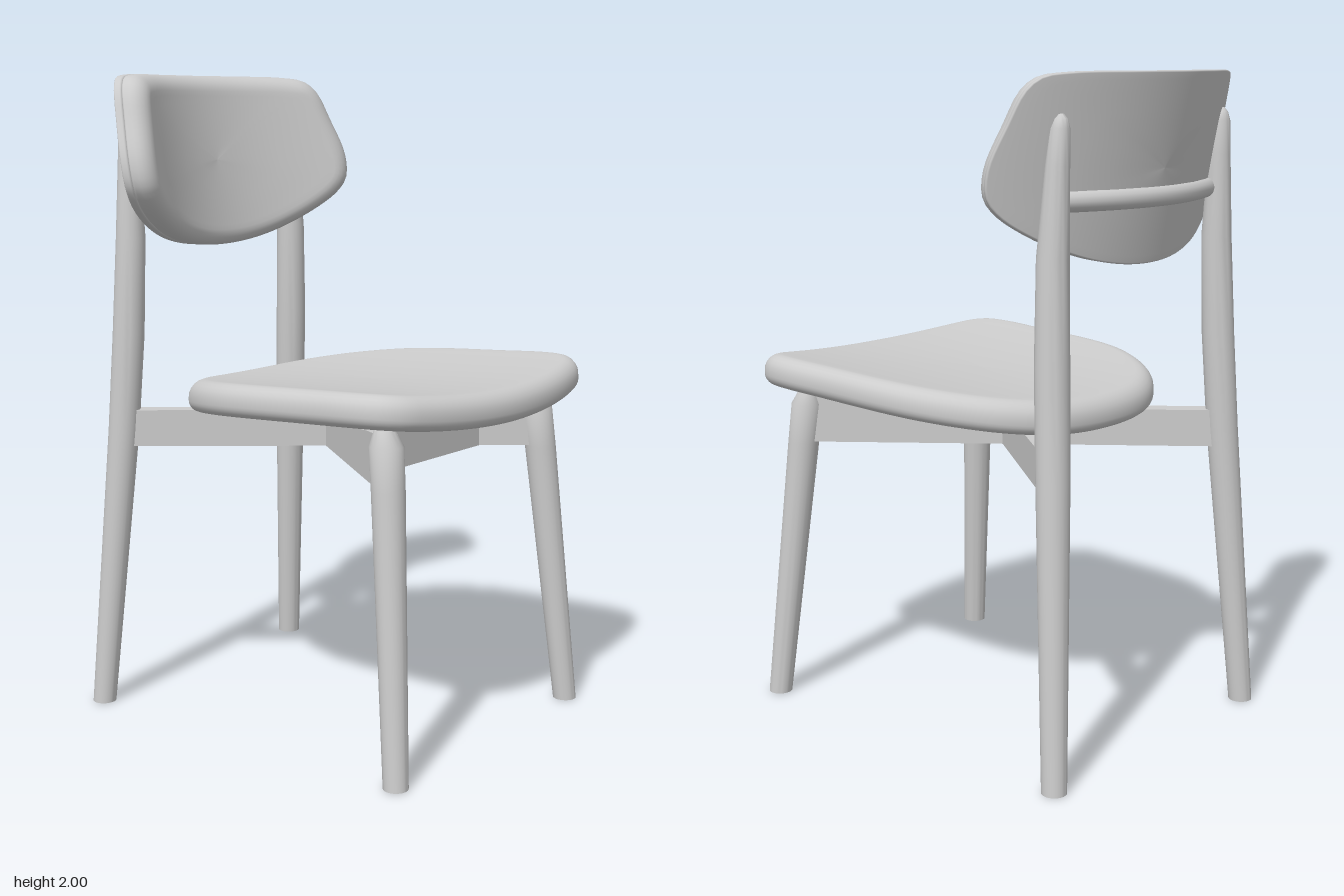
import * as THREE from 'three';
import { toCreasedNormals } from 'three/addons/utils/BufferGeometryUtils.js';

const paint = new THREE.MeshStandardMaterial({ color: 0xcccccc });
paint.name = 'light grey';

// Half outline (from x = 0 round the +x side back to x = 0), mirrored and smoothed
function mirroredOutline(half, count) {
  const left = half.slice(1, -1).reverse().map(([x, y]) => [-x, y]);
  const pts = [...half, ...left].map(([x, y]) => new THREE.Vector3(x, y, 0));
  const curve = new THREE.CatmullRomCurve3(pts, true, 'centripetal');
  return curve.getSpacedPoints(count).slice(0, count);
}

// Edge profile [inset, height] with a rounded lower and upper edge
function roundedEdge(h0, h1, rLow, rHigh, steps = 6) {
  const out = [];
  for (let i = 0; i <= steps; i++) {
    const a = (i / steps) * Math.PI / 2;
    out.push([rLow * (1 - Math.sin(a)), h0 + rLow * (1 - Math.cos(a))]);
  }
  for (let i = 0; i <= steps; i++) {
    const a = (i / steps) * Math.PI / 2;
    out.push([rHigh * (1 - Math.cos(a)), h1 - rHigh * (1 - Math.sin(a))]);
  }
  return out;
}

// Padded slab: inset rings of an anticlockwise outline, closed both sides, then bent by warp
function slab(outline, profile, centre, warp) {
  const n = outline.length;
  const rings = [];
  const ring = (inset, h, scale) => rings.push(outline.map((p, j) => {
    const a = outline[(j + n - 1) % n], b = outline[(j + 1) % n];
    const dx = b.x - a.x, dy = b.y - a.y, len = Math.hypot(dx, dy);
    const x = p.x - (dy / len) * inset, y = p.y + (dx / len) * inset;
    return warp(x * scale, centre + (y - centre) * scale, h);
  }));
  const inner = [0.001, 0.2, 0.4, 0.6, 0.8, 0.93];
  const first = profile[0], last = profile[profile.length - 1];
  inner.forEach((s) => ring(first[0], first[1], s));
  profile.forEach(([inset, h]) => ring(inset, h, 1));
  [...inner].reverse().forEach((s) => ring(last[0], last[1], s));

  const index = [];
  for (let i = 0; i < rings.length - 1; i++) {
    for (let j = 0; j < n; j++) {
      const a = i * n + j, b = i * n + (j + 1) % n;
      index.push(a, b, b + n, a, b + n, a + n);
    }
  }
  const g = new THREE.BufferGeometry();
  g.setAttribute('position', new THREE.Float32BufferAttribute(rings.flat().flatMap((v) => [v.x, v.y, v.z]), 3));
  g.setIndex(index);
  g.computeVertexNormals();
  return g;
}

// Leaning round leg from stations [x, y, z, radius], foot first
function legGeometry(stations, side) {
  const profile = stations.map(([, y, , r]) => new THREE.Vector2(r, y));
  const top = stations[stations.length - 1];
  const g = new THREE.LatheGeometry(
    [new THREE.Vector2(0, 0), ...profile, new THREE.Vector2(0, top[1] + 0.001)], 28);
  const pos = g.attributes.position;
  for (let i = 0; i < pos.count; i++) {
    const y = pos.getY(i);
    let k = 0;
    while (k < stations.length - 2 && y > stations[k + 1][1]) k++;
    const a = stations[k], b = stations[k + 1];
    const t = Math.min(1, (y - a[1]) / (b[1] - a[1]));
    pos.setX(i, pos.getX(i) + side * THREE.MathUtils.lerp(a[0], b[0], t));
    pos.setZ(i, pos.getZ(i) + THREE.MathUtils.lerp(a[2], b[2], t));
  }
  return toCreasedNormals(g, 0.6);
}

// Curved, backward-leaning rear surface of the backrest
const BEND = 0.68;
const backZ = (x, y) => -0.66 + (2 - y) * 0.195 + BEND * x * x;
function bendBack(x, y, h) {
  const slope = 2 * BEND * x, len = Math.hypot(slope, 1);
  return new THREE.Vector3(x - (slope / len) * h, y, backZ(x, y) + h / len);
}

export function createModel() {
  const model = new THREE.Group();
  const add = (name, geometry) => {
    const mesh = new THREE.Mesh(geometry, paint);
    mesh.name = name;
    model.add(mesh);
    return mesh;
  };

  // Seat: dished across its width and sloping gently to the back (outline is x, -z)
  const seatOutline = mirroredOutline([
    [0, -0.66], [0.2, -0.648], [0.38, -0.617], [0.47, -0.585], [0.522, -0.53], [0.54, -0.44],
    [0.535, -0.28], [0.525, -0.05], [0.502, 0.08], [0.45, 0.2], [0.36, 0.315], [0.22, 0.4], [0, 0.43],
  ], 112);
  add('seat', slab(seatOutline, roundedEdge(-0.1, 0, 0.03, 0.058), -0.1,
    (x, v, h) => new THREE.Vector3(x, 1.066 - 0.045 * v + 0.165 * x * x + h, -v)));

  // Backrest: thin shell behind a thicker pad
  const backOutline = mirroredOutline([
    [0, 1.455], [0.14, 1.465], [0.27, 1.495], [0.4, 1.55], [0.49, 1.61], [0.527, 1.66],
    [0.535, 1.74], [0.505, 1.86], [0.475, 1.95], [0.44, 1.985], [0.37, 1.997], [0.18, 2], [0, 2],
  ], 112);
  add('backrestShell', slab(backOutline, roundedEdge(0, 0.026, 0.005, 0.007, 3), 1.73, bendBack));
  add('backrestPad', slab(backOutline, roundedEdge(0.024, 0.1, 0.008, 0.05), 1.73, bendBack));

  // Curved rail across the rear of the backrest
  const railPoints = [];
  for (let i = -6; i <= 6; i++) {
    const x = i * 0.0625;
    railPoints.push(new THREE.Vector3(x, 1.65, backZ(x, 1.65) + 0.003));
  }
  add('backRail', new THREE.TubeGeometry(new THREE.CatmullRomCurve3(railPoints), 40, 0.03, 12));

  // Legs
  const frontLeg = [
    [0.47, 0, 0.562, 0.037], [0.41, 0.84, 0.487, 0.049], [0.402, 0.965, 0.474, 0.05], [0.4, 1.012, 0.466, 0.03],
  ];
  const backPost = [
    [0.47, 0, -0.605, 0.037], [0.413, 0.9, -0.546, 0.049], [0.4, 1.2, -0.53, 0.05], [0.39, 1.5, -0.522, 0.046],
    [0.382, 1.75, -0.53, 0.034], [0.379, 1.85, -0.536, 0.027], [0.378, 1.875, -0.538, 0.019], [0.378, 1.888, -0.538, 0.008],
  ];
  for (const [label, side] of [['left', 1], ['right', -1]]) {
    add(label + 'FrontLeg', legGeometry(frontLeg, side));
    add(label + 'BackPost', legGeometry(backPost, side));
  }

  // Crossed rails under the seat, from each front leg to the opposite back post
  const front = new THREE.Vector2(0.405, 0.48), back = new THREE.Vector2(-0.412, -0.545);
  const span = front.distanceTo(back);
  const side = new THREE.Shape([
    [0, 0.845], [span, 0.845], [span, 1.0], [span - 0.12, 0.99], [span - 0.36, 0.96], [0, 0.96],
  ].map(([x, y]) => new THREE.Vector2(x, y)));
  for (const s of [1, -1]) {
    const g = new THREE.ExtrudeGeometry(side, { depth: 0.06, bevelEnabled: false });
    g.translate(0, 0, -0.03);
    const rail = add(s > 0 ? 'leftDiagonalRail' : 'rightDiagonalRail', g);
    rail.position.set(s * back.x, 0, back.y);
    rail.rotation.y = -Math.atan2(front.y - back.y, s * (front.x - back.x));
  }

  // Front cross rail between the diagonals
  const cross = add('frontCrossRail', new THREE.BoxGeometry(0.57, 0.145, 0.05));
  cross.position.set(0, 0.9175, 0.325);

  return model;
}
